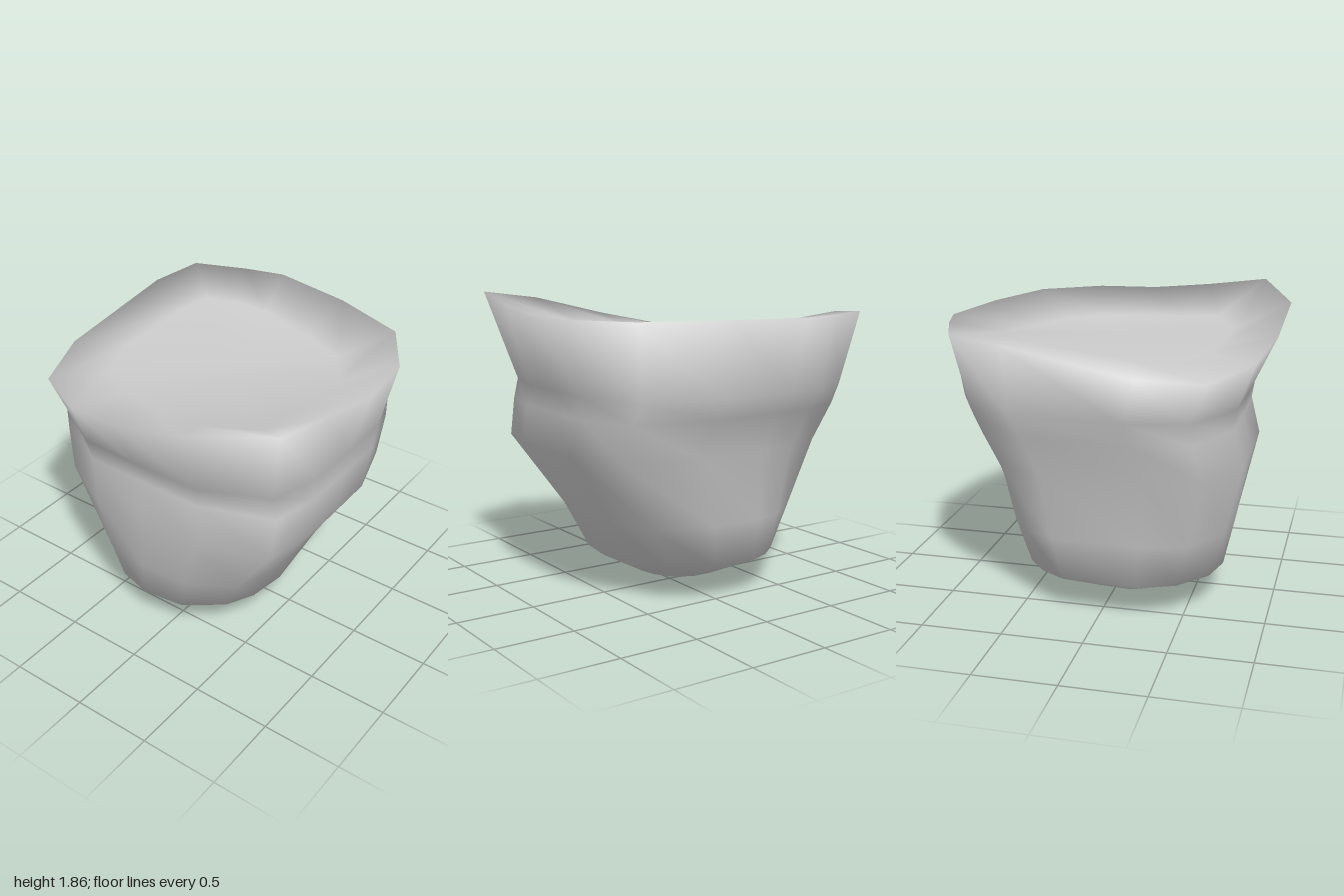
import * as THREE from 'three';

// Rim corners, going round from the left side: x, z, rim height, height of the dished top inside it
const RIM = [
  [0.985, 0, 1.755, 1.62], [0.935, 0.39, 1.8, 1.63], [0.9, 0.775, 1.855, 1.65],
  [0.41, 0.995, 1.79, 1.63], [-0.08, 0.97, 1.67, 1.61], [-0.46, 0.89, 1.59, 1.6],
  [-0.85, 0.68, 1.55, 1.59], [-0.99, 0.29, 1.59, 1.62], [-0.94, -0.48, 1.73, 1.67],
  [-0.86, -0.8, 1.755, 1.69], [-0.53, -0.93, 1.755, 1.68], [-0.28, -1, 1.755, 1.65],
  [0.24, -0.91, 1.755, 1.62], [0.72, -0.74, 1.755, 1.61], [0.95, -0.38, 1.755, 1.61],
];

// Body cross-sections: height, min x, max x, min z, max z, squareness (2 is an oval)
const LEVELS = [
  [1.31, -0.89, 0.85, -0.88, 0.8, 4],
  [1.18, -0.855, 0.85, -0.79, 0.775, 5],
  [0.94, -0.775, 0.845, -0.7, 0.83, 5],
  [0.5, -0.7, 0.58, -0.63, 0.75, 3],
  [0.22, -0.675, 0.46, -0.565, 0.69, 2.2],
  [0.07, -0.37, 0.18, -0.24, 0.36, 2],
];

const TOP_CENTRE = 1.63;

// The rim directions fitted to a level's bounds as a rounded square
function section([y, x0, x1, z0, z1, p]) {
  return RIM.map(([x, z]) => {
    const r = (Math.abs(x) ** p + Math.abs(z) ** p) ** (1 / p);
    return [(x0 + x1) / 2 + (x1 - x0) / 2 * x / r, y, (z0 + z1) / 2 + (z1 - z0) / 2 * z / r];
  });
}

export function createModel() {
  const n = RIM.length;
  const rings = [
    RIM.map(() => [0, TOP_CENTRE, 0]),
    RIM.map(([x, z, , top]) => [x * 0.66, top, z * 0.66]),
    RIM.map(([x, z, y]) => [x, y, z]),
    ...LEVELS.map(section),
    RIM.map(() => [-0.07, 0, 0.03]),
  ];

  // Skin the rings from the middle of the top, over the rim, down to the base
  const index = [];
  for (let i = 0; i < rings.length - 1; i++) {
    for (let j = 0; j < n; j++) {
      const k = (j + 1) % n;
      const a = i * n + j, b = i * n + k, c = a + n, d = b + n;
      if (i === 0) index.push(0, d, c);
      else if (i === rings.length - 2) index.push(a, b, (i + 1) * n);
      else index.push(a, b, c, b, d, c);
    }
  }
  const geometry = new THREE.BufferGeometry();
  geometry.setAttribute('position', new THREE.Float32BufferAttribute(rings.flat(2), 3));
  geometry.setIndex(index);
  geometry.computeVertexNormals();

  const rock = new THREE.Mesh(geometry, new THREE.MeshStandardMaterial({ color: 0xcccccc }));
  rock.name = 'rock';
  const group = new THREE.Group();
  group.name = 'hollowToppedRock';
  group.add(rock);
  return group;
}
